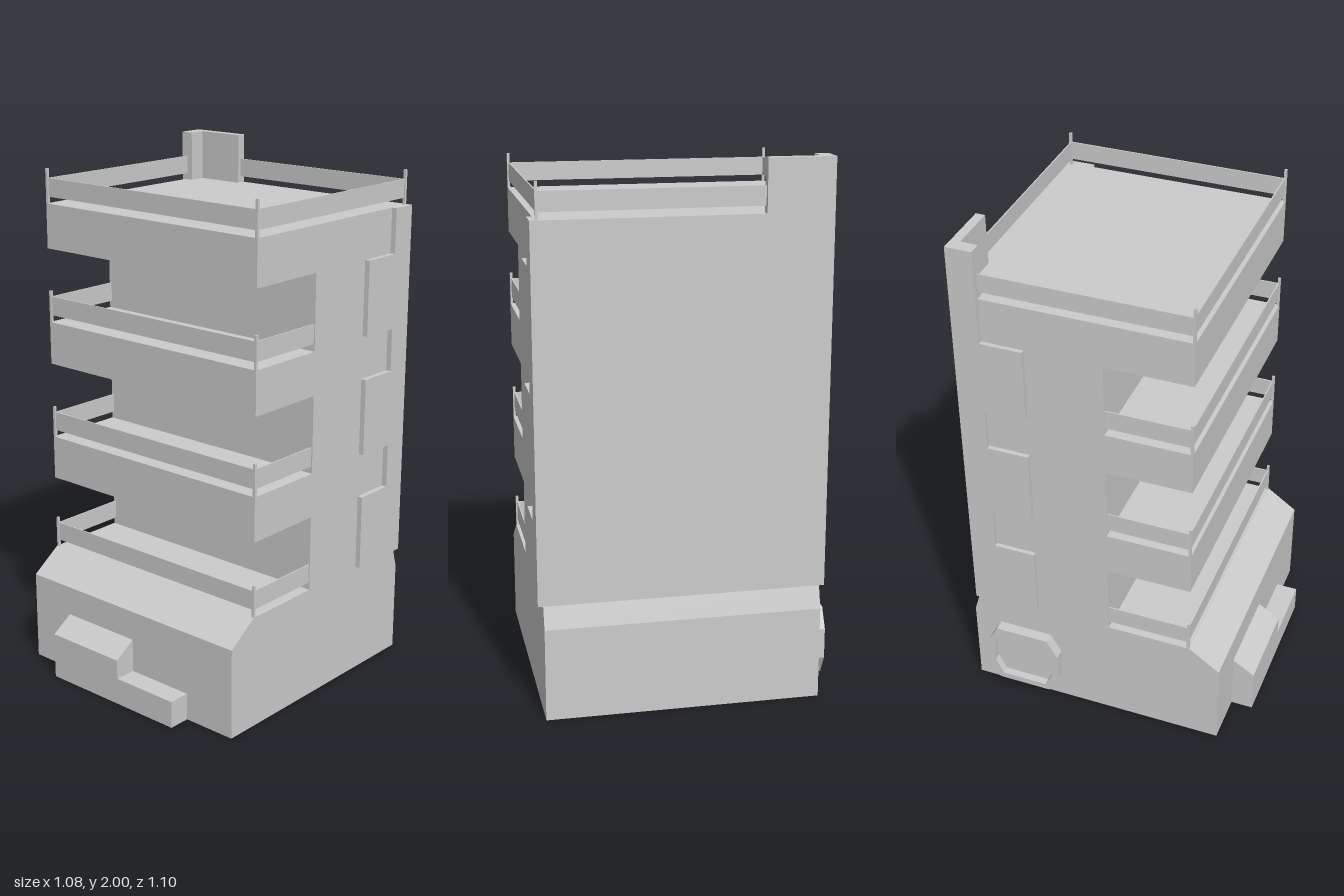
import * as THREE from 'three';

const L = -0.5, R = 0.52, FRONT = 0.345, BACK = -0.53, WALL = 0.02;
const BASE_TOP = 0.435, ROOF = 1.81;

export function createModel() {
  const model = new THREE.Group();
  model.name = 'building';
  const mat = new THREE.MeshStandardMaterial({ color: 0xcccccc, flatShading: true });

  const add = (name, geometry, parent = model) => {
    const mesh = new THREE.Mesh(geometry, mat);
    mesh.name = name;
    parent.add(mesh);
    return mesh;
  };
  // Box given by its two extents on each axis
  const box = (name, x0, x1, y0, y1, z0, z1, parent) => {
    const g = new THREE.BoxGeometry(x1 - x0, y1 - y0, z1 - z0);
    g.translate((x0 + x1) / 2, (y0 + y1) / 2, (z0 + z1) / 2);
    return add(name, g, parent);
  };
  const vectors = (pts) => pts.map(([a, b]) => new THREE.Vector2(a, b));
  // Side profile of (z, y) points, extruded from x0 to x1
  const profile = (name, pts, x0, x1, hole) => {
    const shape = new THREE.Shape(vectors(pts));
    if (hole) shape.holes.push(new THREE.Path(vectors(hole)));
    const g = new THREE.ExtrudeGeometry(shape, { depth: x1 - x0, bevelEnabled: false });
    g.rotateY(-Math.PI / 2).translate(x1, 0, 0);
    return add(name, g);
  };

  // Ground floor with sloped front and back shoulders
  profile('groundFloor', [
    [0.465, 0], [0.465, 0.35], [FRONT, BASE_TOP], [-0.522, BASE_TOP], [-0.547, 0.35], [-0.547, 0],
  ], L, R);

  // Entrance block with sloped roof, and low step beside it
  profile('entrance', [[0.45, 0], [0.55, 0], [0.55, 0.18], [0.465, 0.235], [0.45, 0.235]], -0.31, 0.03);
  box('entranceStep', 0.03, 0.305, 0, 0.105, 0.45, 0.55);

  // Tower
  box('tower', L, R, BASE_TOP, ROOF, BACK, WALL);

  // Balcony slabs, the uppermost one being the roof edge
  const slabs = [[0.725, 0.895], [1.19, 1.355], [1.64, ROOF]];
  slabs.forEach(([y0, y1]) => box('balconySlab', L, R, y0, y1, WALL, FRONT));

  // Stepped corner cladding on both sides
  const steps = [[BACK, BASE_TOP], [-0.27, BASE_TOP]];
  slabs.forEach(([y0, y1], i) => {
    steps.push([-0.27, y0], [-0.43, y0], [-0.43, y1]);
    if (i < 2) steps.push([-0.27, y1]);
  });
  steps.push([BACK, ROOF]);
  profile('cornerCladdingLeft', steps, R, 0.54);
  profile('cornerCladdingRight', steps, -0.517, L);

  // Railings: thin panels floating above each floor, with corner posts
  const T = 0.005, P = 0.01;
  const railing = (floor, zBack, panelLow, panelHigh, postTop) => {
    const rail = new THREE.Group();
    rail.name = 'railing';
    model.add(rail);
    const y0 = floor + panelLow, y1 = floor + panelHigh;
    box('frontPanel', L + T, R - T, y0, y1, FRONT - 2 * T, FRONT - T, rail);
    box('rightPanel', L + T, L + 2 * T, y0, y1, zBack, FRONT - T, rail);
    box('leftPanel', R - 2 * T, R - T, y0, y1, zBack, FRONT - T, rail);
    for (const x of [L, R - P]) {
      box('post', x, x + P, floor, floor + postTop, FRONT - P, FRONT, rail);
    }
    return rail;
  };
  [BASE_TOP, 0.895, 1.355].forEach((y) => railing(y, WALL, 0.027, 0.1, 0.122));

  // Roof railing also closes the back, up to the corner parapet
  const roofRail = railing(ROOF, -0.515, 0.025, 0.095, 0.13);
  box('backPanel', -0.28, R - T, ROOF + 0.025, ROOF + 0.095, -0.515, -0.51, roofRail);
  box('post', R - P, R, ROOF, ROOF + 0.13, -0.52, -0.51, roofRail);

  // L-shaped parapet at the back corner of the roof
  box('parapetBack', -0.517, -0.275, ROOF, 2, BACK, -0.495);
  box('parapetSide', -0.517, -0.467, ROOF, 2, -0.495, -0.43);

  // Eight-sided window frame on the side of the ground floor
  const octagon = (inset) => {
    const a = 0.148 - inset, b = 0.133 - inset, c = a - 0.042 + inset * 0.4, d = b - 0.075 + inset * 0.4;
    return [[a, -d], [a, d], [c, b], [-c, b], [-a, d], [-a, -d], [-c, -b], [c, -b]]
      .map(([z, y]) => [z - 0.332, y + 0.178]);
  };
  profile('windowFrame', octagon(0), -0.542, L, octagon(0.025));
  profile('windowPane', octagon(0.02), -0.512, L);

  return model;
}
